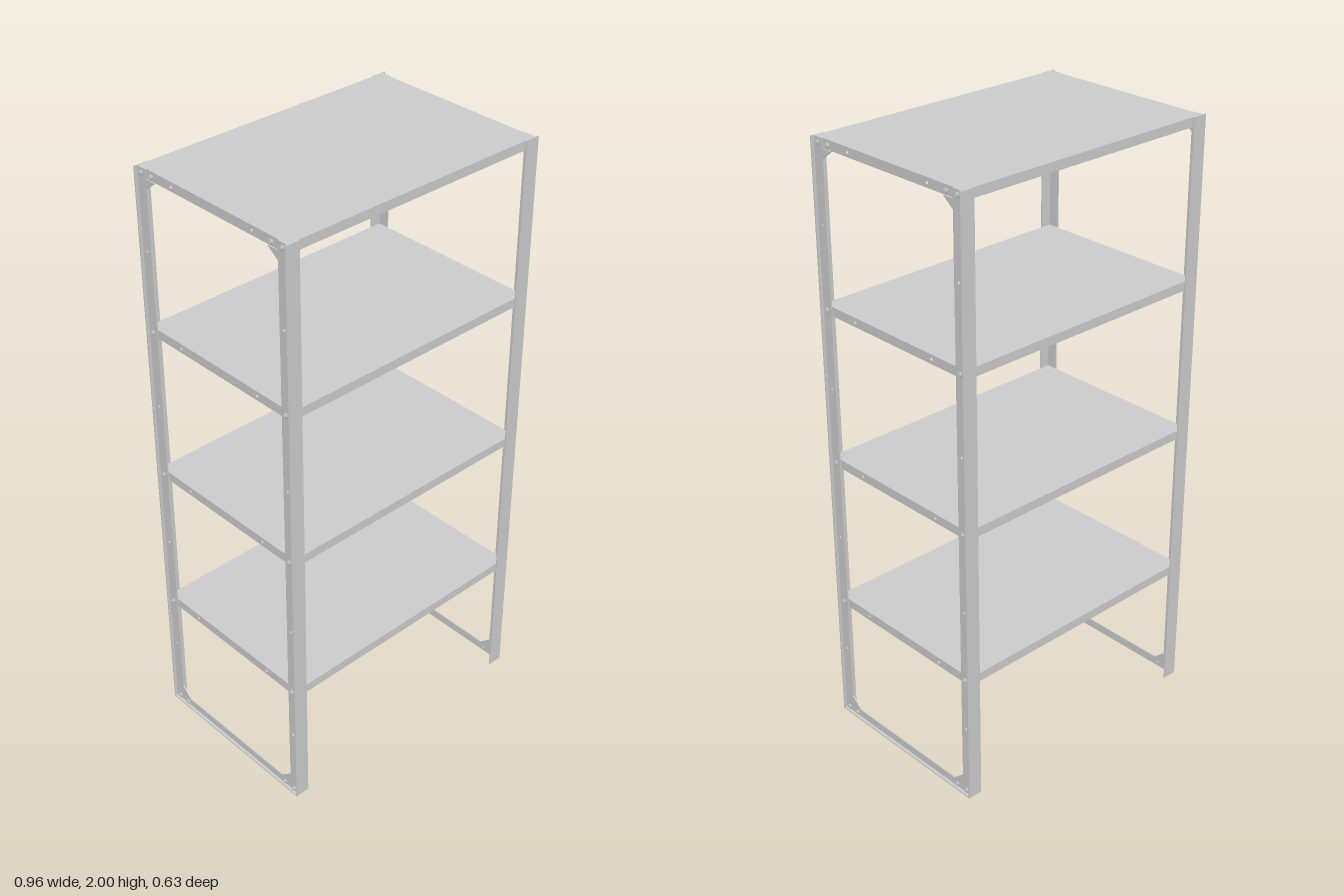
import * as THREE from 'three';

const material = new THREE.MeshStandardMaterial({ color: 0xcccccc, side: THREE.DoubleSide });
const T = 0.004;            // sheet thickness
const X = 0.48, Z = 0.315;  // outer half width and half depth
const WEB = 0.47;           // outer face of the recessed side webs
const SHELF_TOPS = [0.455, 0.97, 1.485, 2];
const SHELF_H = 0.03;

function add(parent, name, geometry, x = 0, y = 0, z = 0) {
  const mesh = new THREE.Mesh(geometry, material);
  mesh.name = name;
  mesh.position.set(x, y, z);
  parent.add(mesh);
  return mesh;
}

function box(parent, name, x0, x1, y0, y1, z0, z1) {
  return add(parent, name, new THREE.BoxGeometry(x1 - x0, y1 - y0, z1 - z0),
    (x0 + x1) / 2, (y0 + y1) / 2, (z0 + z1) / 2);
}

// Thin sheet drawn in (z, y) with round holes; its outer face lies at x
function sidePlate(parent, name, points, x, holes = []) {
  const shape = new THREE.Shape(points.map(([z, y]) => new THREE.Vector2(z, y)));
  for (const [z, y] of holes) {
    const hole = new THREE.Path();
    hole.absarc(z, y, 0.005, 0, Math.PI * 2, true);
    shape.holes.push(hole);
  }
  const geometry = new THREE.ExtrudeGeometry(shape, { depth: T, bevelEnabled: false, curveSegments: 6 });
  geometry.rotateY(-Math.PI / 2);
  return add(parent, name, geometry, x);
}

const rect = (z0, z1, y0, y1) => [[z0, y0], [z1, y0], [z1, y1], [z0, y1]];

// Hex head with a short shank, pointing out along x
function bolt(parent, y, z) {
  const group = new THREE.Group();
  group.name = 'bolt';
  group.position.set(WEB, y, z);
  add(group, 'boltHead', new THREE.CylinderGeometry(0.008, 0.008, 0.005, 6).rotateZ(Math.PI / 2), 0.0025);
  add(group, 'boltShank', new THREE.CylinderGeometry(0.004, 0.004, 0.018, 8).rotateZ(Math.PI / 2), -0.001);
  parent.add(group);
}

// Two posts joined at the foot, on the +x side
function sideFrame() {
  const frame = new THREE.Group();
  const holeHeights = [0.255, 0.685, 1.21, 1.74];
  for (const s of [1, -1]) {
    const post = new THREE.Group();
    post.name = s > 0 ? 'frontPost' : 'backPost';
    const zIn = s * (Z - T);
    box(post, 'postFace', X - 0.05, X, 0, 2, Math.min(zIn, s * Z), Math.max(zIn, s * Z));
    sidePlate(post, 'postWeb', rect(...[s * 0.275, zIn].sort((a, b) => a - b), 0, 2), WEB,
      holeHeights.map((y) => [s * 0.293, y]));
    // Corner gussets at foot and top
    sidePlate(post, 'footGusset',
      [[0.275, 0.03], [0.235, 0.03], [0.275, 0.065]].map(([z, y]) => [s * z, y]), WEB);
    sidePlate(post, 'topGusset',
      [[0.275, 1.97], [0.235, 1.97], [0.275, 1.94]].map(([z, y]) => [s * z, y]), WEB);
    // Bolts at the foot, top and each shelf
    for (const y of [0.016, 1.985]) bolt(post, y, s * 0.25);
    for (const y of [0.016, ...SHELF_TOPS.map((t) => t - 0.015)]) bolt(post, y, s * 0.293);
    frame.add(post);
  }
  // Foot rail: upright web with an outward flange on the floor
  sidePlate(frame, 'footRailWeb', rect(-0.275, 0.275, 0, SHELF_H), WEB);
  box(frame, 'footRailFlange', WEB, X, 0, T, -Z + T, Z - T);
  return frame;
}

// Sheet pan: flat top with a downturned rim, open below
function shelf(top) {
  const group = new THREE.Group();
  group.name = 'shelf';
  const x = WEB - T, z = Z - T, y0 = top - SHELF_H;
  box(group, 'shelfTop', -x, x, top - T, top, -z, z);
  box(group, 'shelfFrontRim', -x, x, y0, top - T, z - T, z);
  box(group, 'shelfBackRim', -x, x, y0, top - T, -z, -z + T);
  for (const outer of [x, -x + T]) {
    sidePlate(group, 'shelfEndRim', rect(-z + T, z - T, y0, top - T), outer,
      [[0.168, top - 0.015], [-0.168, top - 0.015]]);
  }
  return group;
}

export function createModel() {
  const model = new THREE.Group();
  model.name = 'shelvingRack';
  const left = sideFrame();
  left.name = 'leftFrame';
  const right = sideFrame();
  right.name = 'rightFrame';
  right.rotation.y = Math.PI;
  model.add(left, right);
  for (const top of SHELF_TOPS) model.add(shelf(top));
  return model;
}
